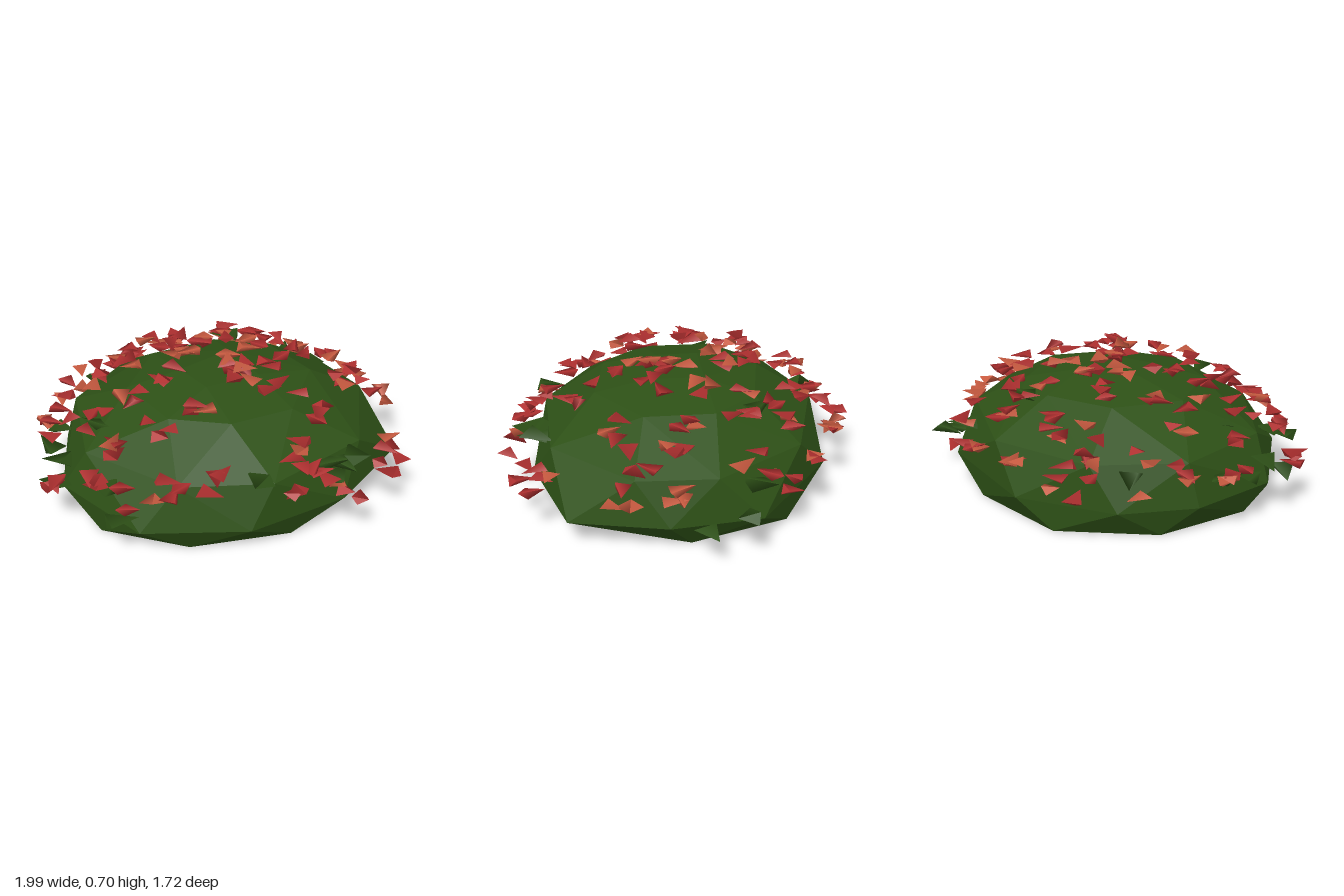
import * as THREE from 'three';
import { mergeGeometries } from 'three/addons/utils/BufferGeometryUtils.js';
import { ConvexGeometry } from 'three/addons/geometries/ConvexGeometry.js';

const paint = (name, color) => {
  const m = new THREE.MeshStandardMaterial({ color });
  m.name = name;
  return m;
};

// Small seeded random generator
function seeded(seed) {
  return () => (seed = (seed * 16807) % 2147483647) / 2147483647;
}

// Cluster centres, x and z
const FLOWERS = [
  [-.45, -.7], [-.3, -.76], [-.08, -.8], [.2, -.73], [.17, -.63], [.45, -.7], [.48, -.58], [-.1, -.62], [-.42, -.58],
  [-.25, -.6], [.1, -.45], [.27, -.42], [-.65, -.52], [-.78, -.38], [-.91, -.18], [-.65, -.2], [-.45, -.21], [-.22, -.3],
  [-.03, -.22], [-.2, -.1], [.08, -.02], [.2, -.2], [.47, -.22], [.65, -.2], [.8, -.3], [.91, 0], [.62, .1],
  [.3, .03], [.02, .08], [-.3, .05], [-.47, .13], [-.86, -.03], [-.7, .2], [-.91, .35], [-.18, .36],
  [.12, .2], [.25, .3], [-.4, .4], [-.65, .4], [-.75, .42], [-.55, .62], [-.42, .7], [-.2, .71],
  [.2, .6], [.2, .78], [.31, .68], [.42, .43], [.5, .67], [.72, .5], [.8, .42], [.76, -.06],
];
const LEAVES = [
  [.67, -.6], [.82, -.46], [.13, -.5], [.53, -.63], [-.62, -.55], [-.68, .1], [-.9, .15], [-.93, .24], [-.68, .52],
  [-.62, .64], [.02, .71], [.45, .6], [.55, .55], [-.87, -.12], [-.92, -.03], [.5, .62], [.38, .66],
];

// Faceted dome: flat base, wide rim, and staggered rings narrowing to the crown
function bushGeometry(rand) {
  const points = [];
  const add = (y, list) => list.forEach(([x, z]) => points.push(new THREE.Vector3(x, y, z)));
  add(0.01, [[-.8, .1], [-.71, .42], [-.3, .65], [.22, .65], [.68, .3], [.66, -.3], [.3, -.69], [-.25, -.71], [-.66, -.38]]);
  add(0.16, [[.905, .25], [.8, -.24], [.56, -.64], [-.07, -.79], [-.56, -.58], [-.8, -.26], [-.87, .2], [-.55, .68], [-.02, .78], [.5, .62]]);
  const ring = (n, y, phase) => {
    const r = Math.sqrt(1 - ((y - 0.16) / 0.475) ** 2);
    for (let i = 0; i < n; i++) {
      const a = phase + (i + (rand() - 0.5) * 0.25) * Math.PI * 2 / n;
      points.push(new THREE.Vector3(Math.cos(a) * r * 0.9, y + (rand() - 0.5) * 0.02, Math.sin(a) * r * 0.82));
    }
  };
  ring(9, 0.38, 0);
  ring(8, 0.56, 0.05);
  ring(4, 0.622, 0.4);
  return new ConvexGeometry(points);
}

// One pointed three-sided petal or leaf, turned at random and flattened
function shard(rand, size, x, y, z) {
  const g = new THREE.ConeGeometry(size * 0.8, size * 1.75, 3);
  g.rotateX(Math.PI / 2 + (rand() - 0.5) * 1.6).rotateZ((rand() - 0.5) * 1.2).rotateY(rand() * 6.28);
  return g.scale(1, 0.4, 1).translate(x, y, z);
}

// Height of the blossom shell above a ground position
function shellHeight(x, z) {
  const r2 = (x / 0.98) ** 2 + (z / 0.88) ** 2;
  return 0.15 + 0.54 * Math.sqrt(Math.max(0.05, 1 - r2));
}

export function createModel() {
  const group = new THREE.Group();
  const rand = seeded(4127);
  const green = paint('leaf green', 0x2d5016);
  const red = paint('petal red', 0xb03030);
  const coral = paint('petal coral', 0xc85a40);
  const add = (name, geometry, material) => {
    const mesh = new THREE.Mesh(geometry, material);
    mesh.name = name;
    group.add(mesh);
  };

  add('bush', bushGeometry(rand), green);

  // Flower clusters of three petals, about one in four coral
  const reds = [], corals = [];
  for (const [cx, cz] of FLOWERS) {
    for (let k = 0; k < 3; k++) {
      const x = THREE.MathUtils.clamp(cx + (rand() - 0.5) * 0.13, -0.92, 0.93);
      const z = THREE.MathUtils.clamp(cz + (rand() - 0.5) * 0.13, -0.8, 0.79);
      const y = shellHeight(x, z) + (rand() - 0.6) * 0.06;
      (rand() < 0.25 ? corals : reds).push(shard(rand, 0.062 + rand() * 0.014, x, y, z));
    }
  }
  add('redPetals', mergeGeometries(reds), red);
  add('coralPetals', mergeGeometries(corals), coral);

  // Loose leaves, mostly low around the sides
  const leaves = LEAVES.map(([x, z]) =>
    shard(rand, 0.085 + rand() * 0.02, x, shellHeight(x, z) - 0.03 - rand() * 0.06, z));
  add('leaves', mergeGeometries(leaves), green);

  return group;
}
